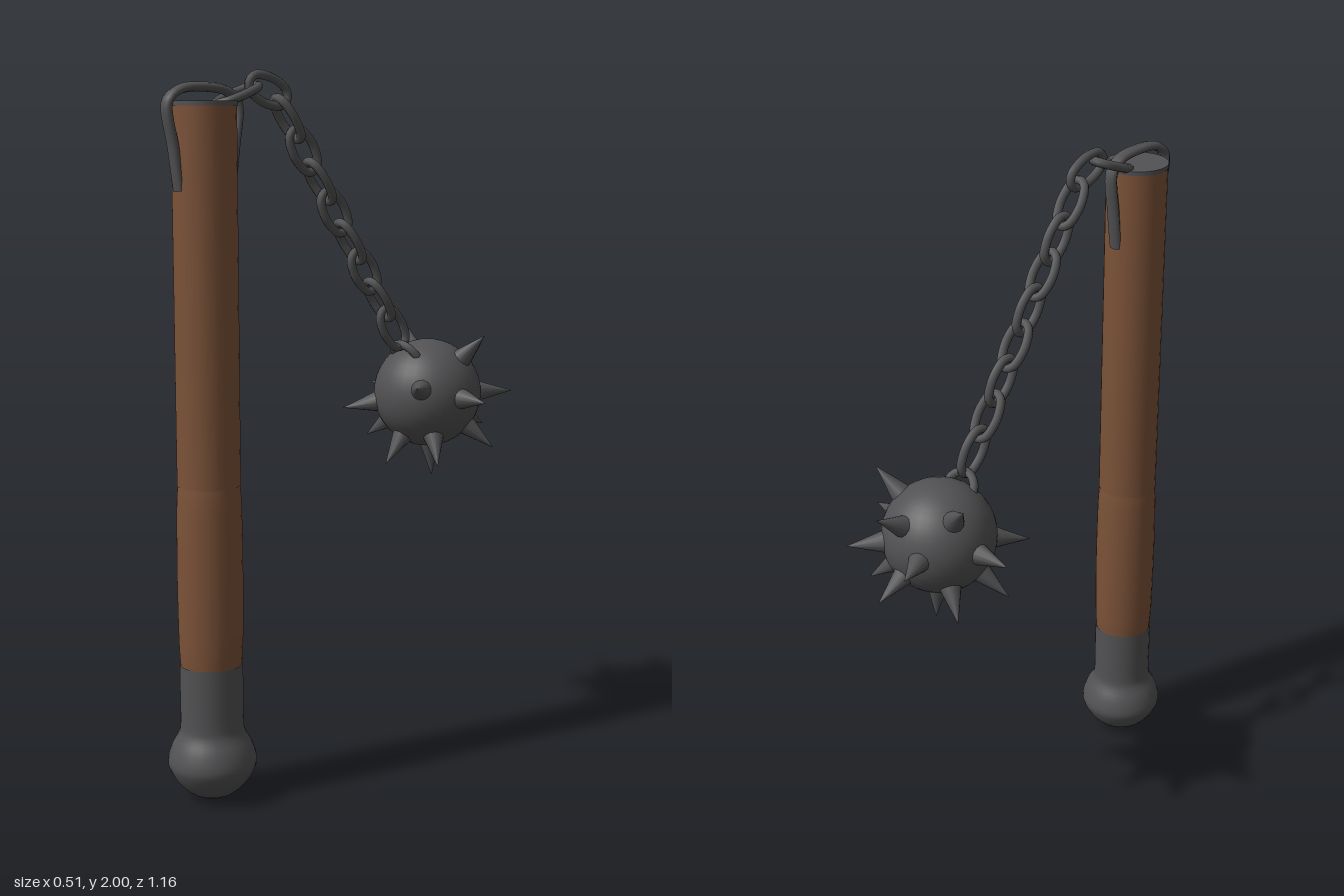
import * as THREE from 'three';

const V = (x, y, z) => new THREE.Vector3(x, y, z);

export function createModel() {
  const flail = new THREE.Group();
  flail.name = 'flail';
  const mat = (name, color) => {
    const m = new THREE.MeshStandardMaterial({ color });
    m.name = name;
    return m;
  };
  const wood = mat('brown wood', 0x7b5238);
  const metal = mat('dark iron', 0x525254);

  const add = (parent, name, geometry, material, x = 0, y = 0, z = 0) => {
    const mesh = new THREE.Mesh(geometry, material);
    mesh.name = name;
    mesh.position.set(x, y, z);
    parent.add(mesh);
    return mesh;
  };
  const lathe = (pts) => new THREE.LatheGeometry(
    new THREE.SplineCurve(pts.map(([r, y]) => new THREE.Vector2(r, y))).getPoints(28), 28);

  // Handle: pommel, slightly swollen grip, long shaft and end cap
  const handle = new THREE.Group();
  handle.name = 'handle';
  handle.position.set(0.028, 0, 0.455);
  flail.add(handle);
  add(handle, 'pommel', lathe([[0, 0], [0.05, 0.01], [0.092, 0.042], [0.119, 0.085], [0.124, 0.115],
    [0.112, 0.155], [0.093, 0.19], [0.088, 0.22], [0.088, 0.3], [0.088, 0.39]]), metal);
  add(handle, 'grip', lathe([[0.085, 0.385], [0.089, 0.46], [0.091, 0.64], [0.089, 0.83], [0.085, 0.9]]), wood);
  add(handle, 'shaft', new THREE.CylinderGeometry(0.087, 0.087, 1.02, 28), wood, 0, 1.405, 0);
  add(handle, 'endCap', new THREE.CylinderGeometry(0.089, 0.089, 0.012, 28), metal, 0, 1.915, 0);

  // Strap bent over the handle top, with its ends driven into both sides
  const strapPath = new THREE.CatmullRomCurve3([[0.08, 1.69], [0.096, 1.8], [0.112, 1.92], [0.075, 1.95],
    [0, 1.957], [-0.075, 1.945], [-0.105, 1.915], [-0.095, 1.8], [-0.08, 1.69]].map(([z, y]) => V(0, y, z)));
  add(handle, 'strap', new THREE.TubeGeometry(strapPath, 56, 0.013, 8), metal).scale.x = 1.6;

  // Chain: oval links whose planes alternate by a quarter turn
  const linkPath = new THREE.CatmullRomCurve3([[0.034, 0.018], [0.034, -0.018], [0.022, -0.055], [0, -0.067],
    [-0.022, -0.055], [-0.034, -0.018], [-0.034, 0.018], [-0.022, 0.055], [0, 0.067], [0.022, 0.055]]
    .map(([x, y]) => V(x, y, 0)), true);
  const linkGeometry = new THREE.TubeGeometry(linkPath, 32, 0.0125, 8, true);
  const chain = new THREE.Group();
  chain.name = 'chain';
  flail.add(chain);
  const addLink = (centre, along, flat) => {
    const link = add(chain, 'chainLink', linkGeometry, metal, ...centre);
    const side = V(1, 0, 0);
    const across = side.clone().cross(along).normalize();
    const basis = flat
      ? new THREE.Matrix4().makeBasis(side, along, across)
      : new THREE.Matrix4().makeBasis(across, along, side.negate());
    link.quaternion.setFromRotationMatrix(basis);
  };
  addLink(V(0.03, 1.937, 0.35), V(0, 0.35, -0.94).normalize(), true);
  addLink(V(0.025, 1.948, 0.245), V(0, -0.36, -0.93).normalize(), false);
  const first = V(0.02, 1.872, 0.178), last = V(0.004, 1.268, -0.212);
  const slope = V(0, last.y - first.y, last.z - first.z).normalize();
  for (let i = 0; i < 8; i++) addLink(first.clone().lerp(last, i / 7), slope, i % 2 === 0);

  // Spiked ball
  const head = new THREE.Group();
  head.name = 'spikedHead';
  head.position.set(0, 1.063, -0.35);
  flail.add(head);
  add(head, 'ball', new THREE.SphereGeometry(0.16, 32, 20), metal);
  const spikeGeometry = new THREE.ConeGeometry(0.034, 0.115, 12);
  const spikeDirections = [
    [1, 0, 0], [-1, 0, 0.03], [0, -1, -0.08], [0, 0.13, -0.215], [0, -0.12, -0.225], [0, -0.2, 0.16],
    [-0.11, 0, -0.22], [0.13, 0, -0.215], [-0.18, 0.17, -0.075], [0.16, 0.175, -0.075],
    [-0.14, -0.045, 0.215], [0.17, 0.05, 0.185], [-0.195, -0.15, 0.075], [-0.165, -0.17, -0.09],
    [0.14, -0.185, 0.08], [0.16, -0.15, -0.11],
  ];
  for (const d of spikeDirections) {
    const dir = V(...d).normalize();
    const spike = add(head, 'spike', spikeGeometry, metal, ...dir.clone().multiplyScalar(0.2));
    spike.quaternion.setFromUnitVectors(V(0, 1, 0), dir);
  }

  // Staple that ties the last link to the ball
  const out = V(0, 0.82, 0.57).normalize();
  const staple = add(head, 'staple', new THREE.TorusGeometry(0.05, 0.0125, 8, 20, Math.PI), metal,
    ...out.clone().multiplyScalar(0.137));
  staple.quaternion.setFromUnitVectors(V(0, 1, 0), out);

  return flail;
}
